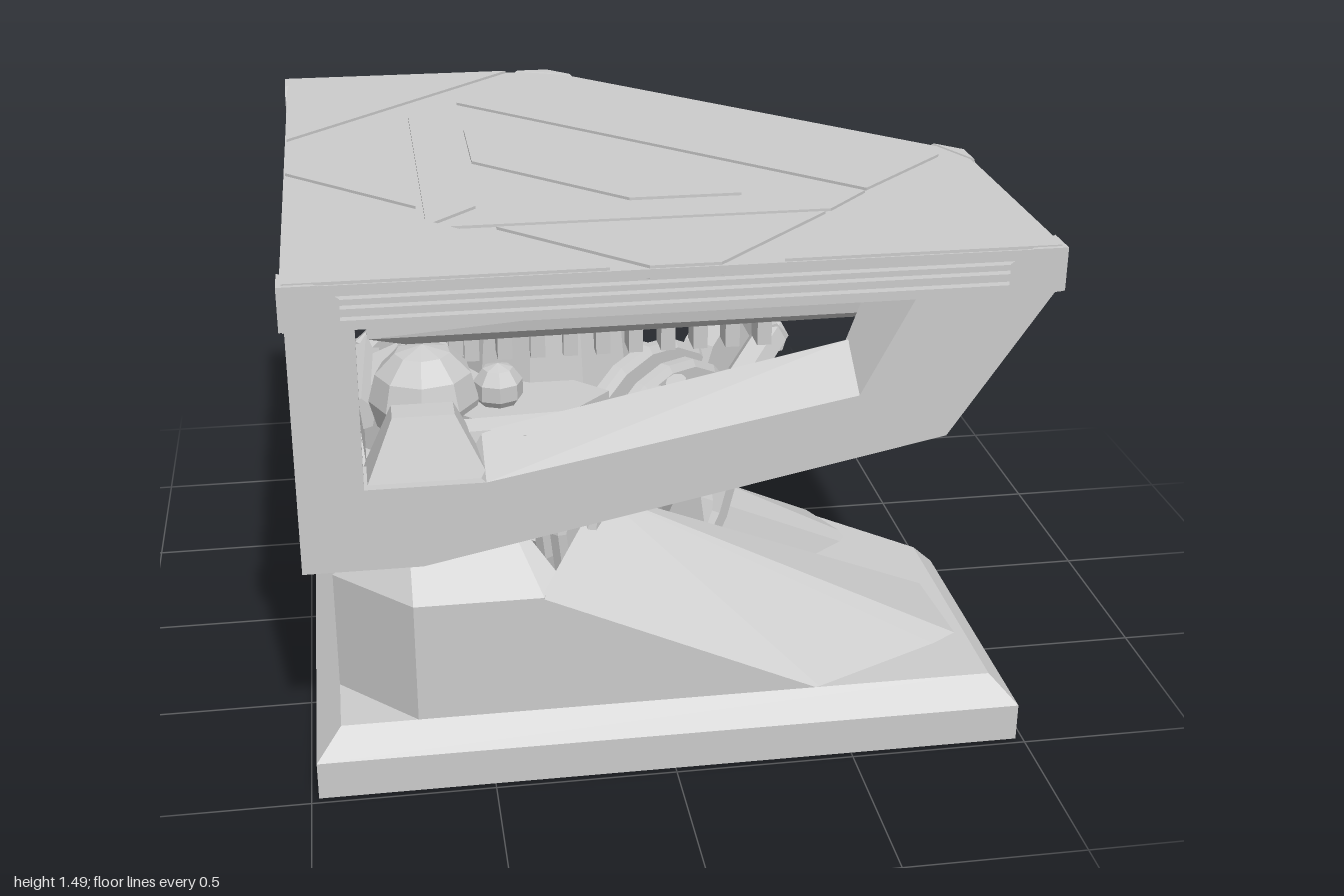
import * as THREE from 'three';
import { ConvexGeometry } from 'three/addons/geometries/ConvexGeometry.js';

const mat = new THREE.MeshStandardMaterial({ color: 0xcccccc, flatShading: true, side: THREE.DoubleSide });

function add(parent, name, geometry) {
  const mesh = new THREE.Mesh(geometry, mat);
  mesh.name = name;
  parent.add(mesh);
  return mesh;
}
const hull = (parent, name, pts) =>
  add(parent, name, new ConvexGeometry(pts.map((p) => new THREE.Vector3(...p))));

// Reflection across the diagonal symmetry plane
const flip = ([x, y, z]) => [-z, y, -x];
function both(parent, name, pts) {
  hull(parent, name, pts);
  hull(parent, name + 'Mirrored', pts.map(flip));
}
const boxPts = (x0, x1, y0, y1, z0, z1) =>
  [x0, x1].flatMap((x) => [y0, y1].flatMap((y) => [z0, z1].map((z) => [x, y, z])));
const slab = (plan, y0, y1) => plan.flatMap(([x, z]) => [[x, y0, z], [x, y1, z]]);

// Square with one corner cut off, inset by i
function outline(i) {
  const m = 0.99 - i, d = 0.87 - Math.SQRT2 * i;
  return [[-m, -m], [d - m, -m], [m, m - d], [m, m], [-m, m]];
}
const stack = (layers) => layers.flatMap(([y, i]) => outline(i).map(([x, z]) => [x, y, z]));

// Profile in (along diagonal, y), extruded across the diagonal
function fin(parent, name, profile, v, width) {
  const shape = new THREE.Shape(profile.map((p) => new THREE.Vector2(...p)));
  const g = new THREE.ExtrudeGeometry(shape, { depth: width, bevelEnabled: false });
  add(parent, name, g.translate(0, 0, v - width / 2));
}

// Straight bar between two points
function bar(parent, name, a, b, r, sides) {
  const A = new THREE.Vector3(...a), B = new THREE.Vector3(...b);
  const m = add(parent, name, new THREE.CylinderGeometry(r, r, A.distanceTo(B) + r, sides));
  m.position.copy(A).add(B).multiplyScalar(0.5);
  m.quaternion.setFromUnitVectors(new THREE.Vector3(0, 1, 0), B.sub(A).normalize());
}

function buildBase(g) {
  hull(g, 'basePlate', stack([[0, 0.01], [0.11, 0.01], [0.18, 0.08]]));
  // Cut corner block between the two ramps
  const half = [[-0.7, 0.15, 0.91], [-0.7, 0.53, 0.91], [-0.35, 0.15, 0.91], [-0.35, 0.53, 0.91],
    [-0.45, 0.73, 0.7], [-0.31, 0.57, 0.84]];
  hull(g, 'cornerBlock', [...half, ...half.map(flip), [-0.7, 0.73, 0.7], [-0.4, 0.15, 0.4]]);
  both(g, 'ramp', [[-0.36, 0.15, 0.91], [-0.36, 0.53, 0.91], [0.43, 0.17, 0.91], [0.82, 0.17, 0.73],
    [0.9, 0.17, 0.68], [0.9, 0.16, 0.37], [-0.17, 0.73, 0.7], [0, 0.15, 0.35], [-0.3, 0.15, 0.4]]);
}

function buildTop(g) {
  hull(g, 'platformCore', stack([[1.36, 0.03], [1.46, 0.03]]));
  [[1.36, 1.385], [1.395, 1.415], [1.425, 1.44], [1.455, 1.478]].forEach(([a, b]) =>
    hull(g, 'edgeRail', stack([[a, 0.005], [b, 0.005]])));
  // Chamfered caps on the corners
  const o = outline(-0.003);
  o.forEach((p, i) => {
    const toward = (q, d) => {
      const l = Math.hypot(q[0] - p[0], q[1] - p[1]);
      return [p[0] + (q[0] - p[0]) * d / l, p[1] + (q[1] - p[1]) * d / l];
    };
    const prev = o[(i + 4) % 5], next = o[(i + 1) % 5];
    hull(g, 'cornerCap', [
      ...slab([p, toward(prev, 0.1), toward(next, 0.1)], 1.365, 1.482),
      ...slab([toward(prev, 0.15), toward(next, 0.15)], 1.38, 1.445)]);
  });
  // Raised panels on the deck
  const panel = (name, plan, mirror = true) =>
    (mirror ? both : hull)(g, name, slab(plan, 1.45, 1.486));
  panel('deckBar', [[-0.61, -0.47], [-0.47, -0.6], [-0.47, 0.45], [-0.61, 0.59]]);
  panel('deckSidePanel', [[-0.98, -0.98], [-0.26, -0.98], [-0.98, -0.26]]);
  panel('deckInfill', [[-0.98, 0.08], [-0.98, -0.1], [-0.63, -0.45], [-0.63, 0.43]]);
  panel('deckCornerPanel', [[-0.98, 0.18], [-0.98, 0.98], [-0.18, 0.98]], false);
  panel('deckSlat', [[-0.45, 0.04], [-0.05, 0.44], [0.26, 0.44], [-0.45, -0.28]], false);
  panel('deckDiagonalPanel', [[-0.17, -0.9], [0.9, 0.17], [0.61, 0.45], [-0.45, -0.6]], false);
  // Faceted belly: steep rim, then a shallow slope inward
  const half = [[0.8, 1.37, 0.11], [0.8, 1.37, 0.8], [0.58, 1.25, 0.78], [0.48, 1.16, 0.38],
    [0.54, 1.19, 0.66], [0.66, 1.25, 0.2]];
  hull(g, 'belly', [...half, ...half.map(flip), [-0.78, 1.37, 0.78], [-0.78, 1.25, 0.78],
    [-0.68, 1.19, 0.68]]);
  for (let i = 0; i < 10; i++) {
    const x = -0.52 + i * 0.09;
    both(g, 'coolingFin', boxPts(x, x + 0.04, 1.08, 1.21, 0.48, 0.56));
  }
}

function buildSkirts(g) {
  const zo = 0.98, zi = 0.84;
  both(g, 'cornerPost', boxPts(-0.98, -0.81, 0.9, 1.37, zo - 0.17, zo));
  both(g, 'skirtFoot', [...boxPts(-0.98, -0.67, 0.69, 0.92, zi, zo),
    [-0.48, 0.73, zo], [-0.48, 0.92, zo], [-0.48, 0.73, zi], [-0.48, 0.92, zi]]);
  both(g, 'skirtRail', [[-0.67, 0.69, zo], [-0.67, 0.69, zi], [-0.5, 0.92, zo], [-0.5, 1.0, zi],
    [0.47, 1.1, zo], [0.47, 1.2, zi], [0.71, 0.97, zo], [0.67, 0.97, zi]]);
  both(g, 'skirtStrut', [[0.47, 1.1, zo], [0.71, 0.97, zo], [0.98, 1.37, zo], [0.61, 1.37, zo],
    [0.45, 1.16, zi], [0.67, 0.97, zi], [0.94, 1.37, zi - 0.06], [0.55, 1.37, zi - 0.06]]);
  // Bump behind the rail
  both(g, 'skirtBump', [[-0.81, 0.9, 0.96], [-0.48, 0.9, 0.96], [-0.73, 1.08, 0.9], [-0.57, 1.08, 0.9],
    [-0.81, 0.9, 0.8], [-0.48, 0.9, 0.8], [-0.73, 1.08, 0.82], [-0.57, 1.08, 0.82]]);
}

// Everything here is in a frame turned along the diagonal: X outward, Z across
function buildMechanism(d) {
  const axle = new THREE.Group();
  axle.name = 'axleAssembly';
  axle.position.set(-0.32, 0.63, 0);
  d.add(axle);
  const drum = add(axle, 'drum', new THREE.CylinderGeometry(0.32, 0.32, 0.4, 28));
  drum.rotation.x = Math.PI / 2;
  for (let i = 0; i < 36; i++) {
    const a = i / 36 * Math.PI * 2;
    const rib = add(axle, 'drumRib', new THREE.BoxGeometry(0.035, 0.032, 0.4));
    rib.position.set(0.33 * Math.cos(a), 0.33 * Math.sin(a), 0);
    rib.rotation.z = a;
  }
  const ringProfile = (r0, r1, w) => [[r0, -w], [r1 - 0.02, -w], [r1, -w / 2], [r1, w / 2],
    [r1 - 0.02, w], [r0, w], [r0, -w]].map((p) => new THREE.Vector2(...p));
  for (const s of [-1, 1]) {
    [[0.225, 0.39], [0.31, 0.42], [0.38, 0.38]].forEach(([v, r]) => {
      const ring = add(axle, 'wheelRing', new THREE.LatheGeometry(ringProfile(r - 0.07, r, 0.028), 20));
      ring.rotation.x = Math.PI / 2;
      ring.position.z = s * v;
    });
    const hub = add(axle, 'hub', new THREE.SphereGeometry(0.21, 9, 5));
    hub.position.set(0.06, 0, s * 0.26);
    hub.scale.set(0.75, 1, 0.5);

    // Hanging arms, widest near the top, and the sloped feet beneath them
    fin(d, 'hangingArm', [[0.33, 1.37], [0.6, 1.37], [0.43, 1.1], [0.18, 0.96], [0.03, 0.78],
      [-0.16, 0.78], [-0.05, 0.97], [0.2, 1.14]], s * 0.31, 0.1);
    hull(d, 'armFlare', [[0.59, 1.37, 0.26], [0.59, 1.37, 0.36], [0.3, 1.37, 0.25], [0.3, 1.37, 0.4],
      [0.3, 1.24, 0.25], [0.3, 1.24, 0.4], [0.4, 1.1, 0.26], [0.4, 1.1, 0.36],
      [0.2, 1.14, 0.26], [0.2, 1.14, 0.36]].map(([x, y, z]) => [x, y, z * s]));
    hull(d, 'slopedFoot', [[-0.15, 0.15, 0.24], [-0.15, 0.15, 0.46], [0.02, 0.5, 0.24], [0.02, 0.5, 0.36],
      [-0.1, 0.5, 0.24], [-0.1, 0.5, 0.36], [0.52, 0.15, 0.34], [0.48, 0.15, 0.56],
      [0.52, 0.2, 0.36], [0.46, 0.2, 0.52]].map(([x, y, z]) => [x, y, z * s]));

    // Yoke around the drum and slanted pistons
    const yoke = [[0.13, 1.06, 0], [0.13, 1.06, s * 0.36], [-0.05, 1.05, s * 0.55],
      [-0.25, 0.98, s * 0.58], [-0.7, 0.97, s * 0.42], [-1, 0.97, s * 0.15]];
    for (let i = 1; i < yoke.length; i++) bar(d, 'yokeBar', yoke[i - 1], yoke[i], 0.05, 6);
    for (let i = 0; i < 3; i++) {
      const u = -0.36 - i * 0.1;
      bar(d, 'piston', [u, 0.98, s * 0.45], [u + 0.14, 0.68, s * 0.45], 0.03, 8);
    }
    const lump = add(d, 'motorCap', new THREE.SphereGeometry(0.07, 8, 5));
    lump.position.set(-0.77, 1.04, s * 0.15);
  }
  const dome = add(d, 'motorDome', new THREE.SphereGeometry(0.15, 9, 6));
  dome.position.set(-0.9, 1.02, 0);
  add(d, 'gearHousing', new THREE.BoxGeometry(0.36, 0.2, 0.7)).position.set(-0.72, 0.9, 0);
  add(d, 'neck', new THREE.CylinderGeometry(0.26, 0.3, 0.35, 12)).position.set(-0.38, 1.03, 0);
  add(d, 'lowerBrace', new THREE.BoxGeometry(0.12, 0.05, 0.64)).position.set(0.03, 0.8, 0);
  // Stepped cradle below the drum, with a steep recessed face
  fin(d, 'cradle', [[-0.6, 0.15], [0.28, 0.15], [0.05, 0.36], [0.02, 0.49], [-0.6, 0.49]], 0, 0.54);
}

export function createModel() {
  const model = new THREE.Group();
  model.name = 'cornerTurret';
  const section = (name, build) => {
    const g = new THREE.Group();
    g.name = name;
    build(g);
    model.add(g);
    return g;
  };
  section('base', buildBase);
  section('platform', buildTop);
  section('skirts', buildSkirts);
  section('mechanism', buildMechanism).rotation.y = Math.PI / 4;
  return model;
}
